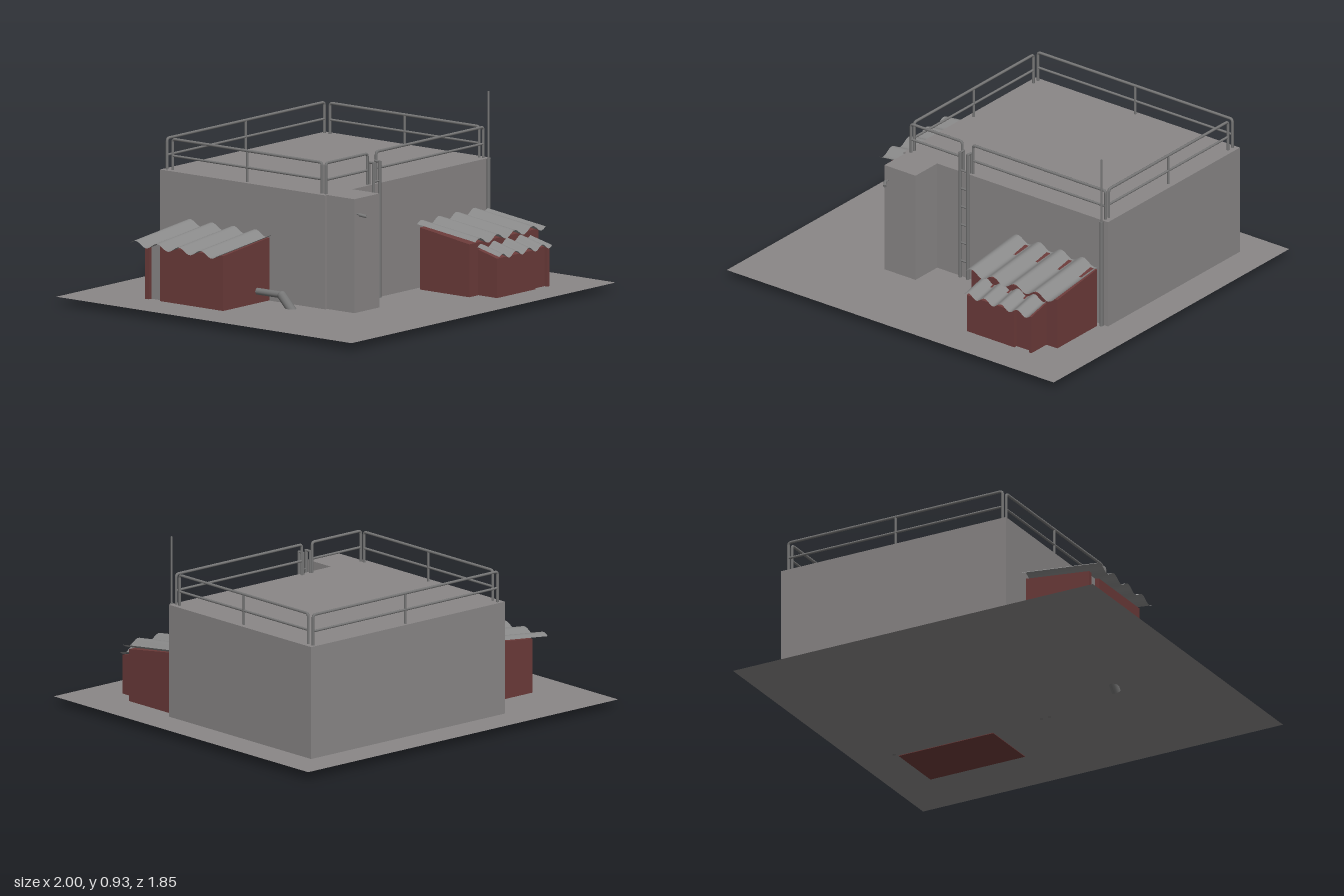
import * as THREE from 'three';

const mat = (name, color, extra = {}) => {
  const m = new THREE.MeshStandardMaterial({ color, ...extra });
  m.name = name;
  return m;
};

export function createModel() {
  const root = new THREE.Group();
  root.name = 'rooftopBuilding';
  const concrete = mat('concreteGrey', 0x8a8787, { side: THREE.DoubleSide });
  const tile = mat('tileGrey', 0x8a8a8a, { side: THREE.DoubleSide });
  const metal = mat('metalGrey', 0x767676);
  const red = mat('shedRed', 0x6c3b3a);
  const G = 0.04; // ground level

  const add = (parent, name, geo, material) => {
    const m = new THREE.Mesh(geo, material);
    m.name = name;
    parent.add(m);
    return m;
  };
  const group = (name, parent = root) => {
    const g = new THREE.Group();
    g.name = name;
    parent.add(g);
    return g;
  };
  // box given by its two opposite corners
  const block = (parent, name, x0, x1, y0, y1, z0, z1, material) =>
    add(parent, name, new THREE.BoxGeometry(x1 - x0, y1 - y0, z1 - z0), material)
      .position.set((x0 + x1) / 2, (y0 + y1) / 2, (z0 + z1) / 2);
  // straight round bar between two points
  const bar = (parent, name, a, b, r, material = metal, r2 = r) => {
    const p = new THREE.Vector3(...a), q = new THREE.Vector3(...b);
    const d = q.clone().sub(p);
    const m = add(parent, name, new THREE.CylinderGeometry(r2, r, d.length(), 12), material);
    m.position.copy(p).add(q).multiplyScalar(0.5);
    m.quaternion.setFromUnitVectors(new THREE.Vector3(0, 1, 0), d.normalize());
  };

  // ground sheet, main block and front annex
  const ground = add(root, 'ground', new THREE.PlaneGeometry(2, 1.85).rotateX(-Math.PI / 2), concrete);
  ground.position.y = G;
  block(root, 'mainBlock', -0.42, 0.83, G, 0.6, -0.755, 0.28, concrete);
  block(root, 'frontAnnex', -0.405, -0.215, G, 0.6, 0.28, 0.45, concrete);

  // railing: hoop with rounded corners, mid rail and optional centre post
  const railing = (name, a, b, centre) => {
    const g = group(name);
    const [ax, az] = a, [bx, bz] = b;
    const len = Math.hypot(bx - ax, bz - az), c = 0.015, top = 0.752;
    const at = (t, y) => new THREE.Vector3(ax + (bx - ax) * t / len, y, az + (bz - az) * t / len);
    const path = new THREE.CurvePath();
    path.add(new THREE.LineCurve3(at(0, 0.6), at(0, top - c)));
    path.add(new THREE.QuadraticBezierCurve3(at(0, top - c), at(0, top), at(c, top)));
    path.add(new THREE.LineCurve3(at(c, top), at(len - c, top)));
    path.add(new THREE.QuadraticBezierCurve3(at(len - c, top), at(len, top), at(len, top - c)));
    path.add(new THREE.LineCurve3(at(len, top - c), at(len, 0.6)));
    add(g, 'hoop', new THREE.TubeGeometry(path, 160, 0.007, 8), metal);
    bar(g, 'midRail', at(0, 0.67).toArray(), at(len, 0.67).toArray(), 0.006);
    if (centre) bar(g, 'centrePost', at(len / 2, 0.6).toArray(), at(len / 2, top).toArray(), 0.006);
  };
  railing('backRailing', [-0.39, -0.735], [0.8, -0.735], true);
  railing('rightRailing', [-0.39, -0.7], [-0.39, 0.235], true);
  railing('leftRailing', [0.8, -0.7], [0.8, 0.235], true);
  railing('frontRailingShort', [-0.39, 0.26], [-0.077, 0.26], false);
  railing('frontRailingLong', [-0.01, 0.26], [0.8, 0.26], false);

  // ladder with hooked tops
  const ladder = group('ladder');
  for (const x of [-0.066, -0.02]) {
    bar(ladder, 'stile', [x, G, 0.29], [x, 0.712, 0.29], 0.008);
    bar(ladder, 'hook', [x, 0.708, 0.29], [x, 0.708, 0.26], 0.006);
    bar(ladder, 'hookPost', [x, 0.6, 0.262], [x, 0.712, 0.262], 0.006);
  }
  for (let i = 0; i < 6; i++) {
    const y = 0.13 + i * 0.097;
    bar(ladder, 'rung', [-0.066, y, 0.29], [-0.02, y, 0.29], 0.005);
  }

  // mast on the front corner
  const mast = group('mast');
  bar(mast, 'mastTube', [0.8, G, 0.293], [0.8, 0.6, 0.293], 0.009);
  bar(mast, 'mastRod', [0.8, 0.6, 0.293], [0.8, 0.933, 0.293], 0.005);

  // small lamp on the annex
  const lamp = group('wallLamp');
  bar(lamp, 'lampArm', [-0.385, 0.525, 0.45], [-0.385, 0.522, 0.472], 0.004);
  bar(lamp, 'lampHead', [-0.388, 0.524, 0.465], [-0.368, 0.515, 0.495], 0.008);

  // lean-to body: sloped-top prism from z0 to z1 across x0..x1
  const wedge = (parent, name, x0, x1, z0, z1, yBase, yBack, yFront, material = red) => {
    const s = new THREE.Shape([[z0, yBase], [z1, yBase], [z1, yFront], [z0, yBack]]
      .map(([x, y]) => new THREE.Vector2(x, y)));
    const geo = new THREE.ExtrudeGeometry(s, { depth: x1 - x0, bevelEnabled: false });
    add(parent, name, geo.rotateY(-Math.PI / 2).translate(x1, 0, 0), material);
  };
  // wavy sloping roof sheet
  const waveRoof = (parent, name, x0, x1, z0, z1, yBack, yFront, waves, amp) => {
    const geo = new THREE.PlaneGeometry(1, 1, waves * 10, 1).rotateX(-Math.PI / 2);
    const p = geo.attributes.position;
    for (let i = 0; i < p.count; i++) {
      const u = p.getX(i) + 0.5, v = p.getZ(i) + 0.5;
      const y = yBack + (yFront - yBack) * v + amp * Math.sin(u * waves * 2 * Math.PI);
      p.setXYZ(i, x0 + (x1 - x0) * u, y, z0 + (z1 - z0) * v);
    }
    geo.computeVertexNormals();
    add(parent, name, geo, tile);
  };

  // front shed with a lower porch and recessed door
  const front = group('frontShed');
  wedge(front, 'shedBody', 0.26, 0.785, 0.31, 0.62, G - 0.003, 0.345, 0.3);
  waveRoof(front, 'shedRoof', 0.257, 0.79, 0.295, 0.66, 0.36, 0.315, 4, 0.016);
  wedge(front, 'porchBody', 0.325, 0.615, 0.62, 0.74, G + 0.001, 0.265, 0.235);
  wedge(front, 'porchDoor', 0.615, 0.705, 0.62, 0.722, G + 0.001, 0.262, 0.235);
  wedge(front, 'porchJamb', 0.705, 0.72, 0.62, 0.74, G + 0.001, 0.265, 0.235);
  waveRoof(front, 'porchRoof', 0.322, 0.722, 0.62, 0.757, 0.277, 0.245, 4, 0.013);

  // side shed, built facing +z and turned to face -x
  const side = group('sideShed');
  side.rotation.y = -Math.PI / 2;
  wedge(side, 'shedCorner', -0.56, -0.535, 0.42, 0.77, G + 0.001, 0.35, 0.31);
  wedge(side, 'shedDoor', -0.535, -0.465, 0.42, 0.75, G + 0.001, 0.348, 0.312, concrete);
  wedge(side, 'shedBody', -0.465, -0.07, 0.42, 0.77, G + 0.001, 0.35, 0.31);
  waveRoof(side, 'shedRoof', -0.6, -0.055, 0.42, 0.835, 0.365, 0.32, 4, 0.015);

  // drain pipe that dips into the ground
  const drain = group('drainPipe');
  bar(drain, 'drainRun', [-0.51, 0.1, -0.08], [-0.51, 0.1, 0.085], 0.017);
  add(drain, 'drainElbow', new THREE.SphereGeometry(0.022, 16, 12), metal).position.set(-0.51, 0.098, 0.084);
  bar(drain, 'drainOutlet', [-0.51, 0.098, 0.084], [-0.51, 0.017, 0.16], 0.023);

  return root;
}
